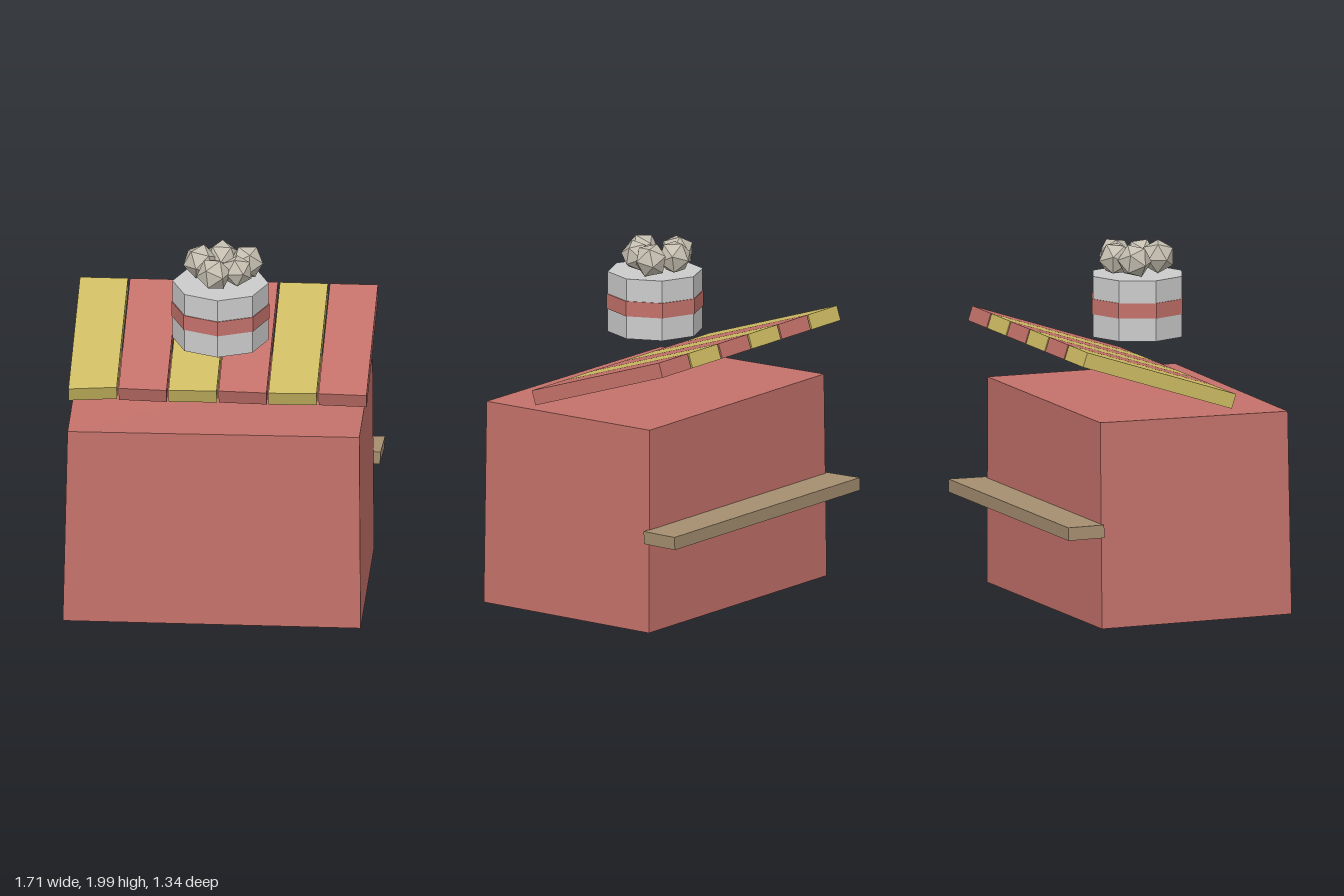
import * as THREE from 'three';

const material = (color) => new THREE.MeshStandardMaterial({ color, flatShading: true });
const red = material(0xc4716a);
const yellow = material(0xcdbb62);
const wood = material(0xa58e70);
const grey = material(0xcccccc);
const stone = material(0xc4beb0);

// Six-sided block whose corners are placed by a rule of the three corner signs
function block(name, mat, corner) {
  const geometry = new THREE.BoxGeometry(2, 2, 2);
  const p = geometry.attributes.position;
  for (let i = 0; i < p.count; i++) {
    p.setXYZ(i, ...corner(p.getX(i), p.getY(i), p.getZ(i)));
  }
  geometry.computeVertexNormals();
  const mesh = new THREE.Mesh(geometry, mat);
  mesh.name = name;
  return mesh;
}

function drum(name, mat, radius, bottom, top) {
  const mesh = new THREE.Mesh(new THREE.CylinderGeometry(radius, radius, top - bottom, 8), mat);
  mesh.position.set(0, (bottom + top) / 2, 0.097);
  mesh.name = name;
  return mesh;
}

export function createModel() {
  const model = new THREE.Group();
  model.name = 'stall';

  // Main body, slightly crooked and narrower at the top
  model.add(block('body', red, (x, y, z) => [
    x < 0 ? (y > 0 ? -0.805 : -0.83) : (y > 0 ? 0.8 : 0.808),
    y > 0 ? (x < 0 && z > 0 ? 1.138 : 1.148) : (z > 0 ? 0.012 : 0.003),
    z > 0 ? (y > 0 ? 0.655 : 0.668) : -0.46,
  ]));

  // Shelf across the back
  model.add(block('backShelf', wood, (x, y, z) => [
    x * (z < 0 ? 0.853 : 0.843) + y * 0.002,
    0.548 + y * 0.036,
    z < 0 ? -0.67 : -0.452,
  ]));

  // Sloping awning of alternating slats
  const awning = new THREE.Group();
  awning.name = 'awning';
  awning.position.set(0, 1.363, -0.118);
  awning.rotation.x = 0.316;
  const frontSkew = [-0.012, 0.004, -0.004, 0.003, -0.004, 0.003];
  frontSkew.forEach((skew, i) => {
    const slat = block('awningSlat', i % 2 ? red : yellow, (x, y, z) => [
      x * 0.132 + (z > 0 ? -0.003 : 0.003),
      y * 0.042,
      z * 0.458 + (z > 0 ? x * skew : 0),
    ]);
    slat.position.x = -0.686 + i * 0.275;
    awning.add(slat);
  });
  model.add(awning);

  // Eight-sided pot with a band
  model.add(drum('pot', grey, 0.264, 1.477, 1.815));
  model.add(drum('potBand', red, 0.269, 1.605, 1.69));

  // Ring of faceted lumps on the pot
  const lumps = [[0, -0.035], [0.14, 0.022], [0.095, 0.152], [-0.03, 0.207], [-0.117, 0.032]];
  lumps.forEach(([x, z], i) => {
    const lump = new THREE.Mesh(new THREE.IcosahedronGeometry(i === 2 ? 0.088 : 0.096), stone);
    lump.position.set(x, 1.907, z);
    lump.rotation.set(0.45 + i * 0.06, i * 1.3, 0.1 * i, 'YXZ');
    lump.name = 'lump';
    model.add(lump);
  });

  return model;
}
